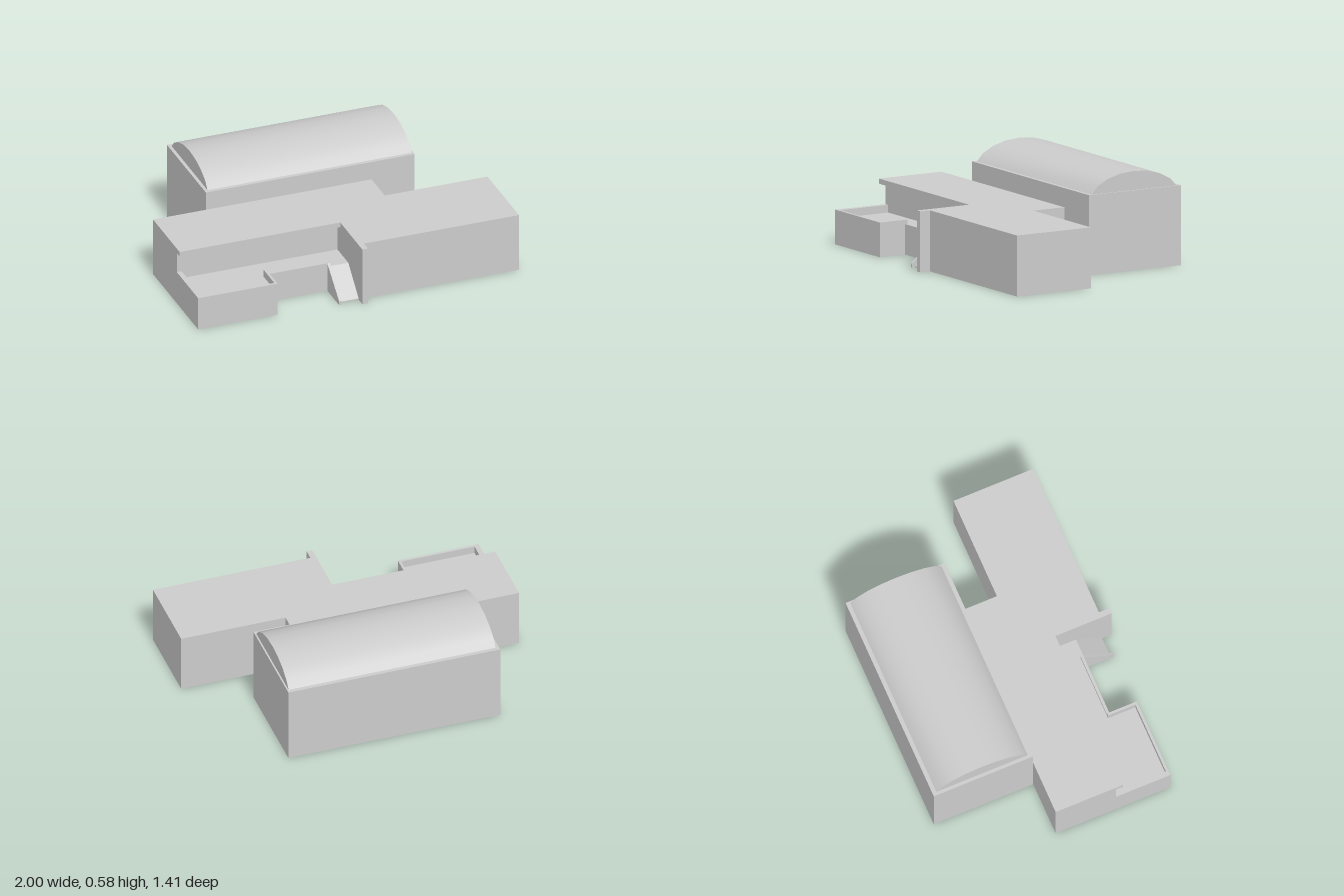
import * as THREE from 'three';
import { toCreasedNormals } from 'three/addons/utils/BufferGeometryUtils.js';

const material = new THREE.MeshStandardMaterial({ color: 0xcccccc });

function outline(points) {
  return new THREE.Shape(points.map(([a, b]) => new THREE.Vector2(a, -b)));
}

// Upright prism from a floor plan of [x, z] points
function prism(name, plan, y0, y1) {
  const geometry = new THREE.ExtrudeGeometry(outline(plan), { depth: y1 - y0, bevelEnabled: false });
  geometry.rotateX(-Math.PI / 2).translate(0, y0, 0);
  const mesh = new THREE.Mesh(geometry, material);
  mesh.name = name;
  return mesh;
}

// Solid with a [z, y] side profile, running from x0 to x1
function profile(name, points, x0, x1, crease = 0.1) {
  const shape = new THREE.Shape(points.map(([z, y]) => new THREE.Vector2(-z, y)));
  let geometry = new THREE.ExtrudeGeometry(shape, { depth: x1 - x0, bevelEnabled: false });
  geometry.rotateY(Math.PI / 2).translate(x0, 0, 0);
  geometry = toCreasedNormals(geometry, crease);
  const mesh = new THREE.Mesh(geometry, material);
  mesh.name = name;
  return mesh;
}

const rect = (x0, x1, z0, z1) => [[x0, z0], [x1, z0], [x1, z1], [x0, z1]];

export function createModel() {
  const model = new THREE.Group();
  model.name = 'building';

  // Tall hall with a barrel roof
  model.add(prism('hall', rect(-0.67, 0.63, -0.705, -0.08), 0, 0.472));
  const half = [[0.29, 0.47], [0.25, 0.515], [0.18, 0.553], [0.095, 0.577]];
  const arc = [
    ...half.map(([d, y]) => [-0.392 + d, y]),
    [-0.392, 0.585],
    ...half.slice().reverse().map(([d, y]) => [-0.392 - d, y]),
  ];
  model.add(profile('barrelRoof', arc, -0.65, 0.62, 0.6));

  // Main block and wing; the roof overhangs the wall behind the terrace
  const plan = (front) => [
    [-1, -0.077], [0.36, -0.077], [0.36, 0.135], [1, 0.135], [1, 0.64],
    [0.035, 0.64], [0.035, 0.705], [0, 0.705], [0, front], [-1, front],
  ];
  model.add(prism('mainWalls', plan(0.305), 0, 0.33));
  model.add(prism('mainRoof', plan(0.35), 0.33, 0.36));

  // Raised terrace floor, stepping back towards the ramp
  model.add(prism('terraceFloor', [
    [-0.97, 0.305], [0, 0.305], [0, 0.48], [-0.115, 0.48], [-0.115, 0.46],
    [-0.52, 0.46], [-0.52, 0.632], [-0.97, 0.632],
  ], 0, 0.16));

  // Terrace parapets: taller around the platform, lower beside the ramp
  model.add(prism('terraceParapet', [
    [-1, 0.305], [-0.97, 0.305], [-0.97, 0.632], [-0.52, 0.632], [-0.52, 0.46],
    [-0.505, 0.46], [-0.505, 0.648], [-1, 0.648],
  ], 0, 0.205));
  model.add(prism('lowParapet', rect(-0.505, -0.115, 0.46, 0.477), 0, 0.18));

  // Entrance ramp and its sloping side wall
  model.add(profile('ramp', [[0.48, 0], [0.645, 0], [0.645, 0.008], [0.48, 0.16]], -0.115, 0));
  model.add(profile('rampSideWall', [[0.477, 0], [0.668, 0], [0.668, 0.025], [0.477, 0.18]], -0.13, -0.115));

  return model;
}
